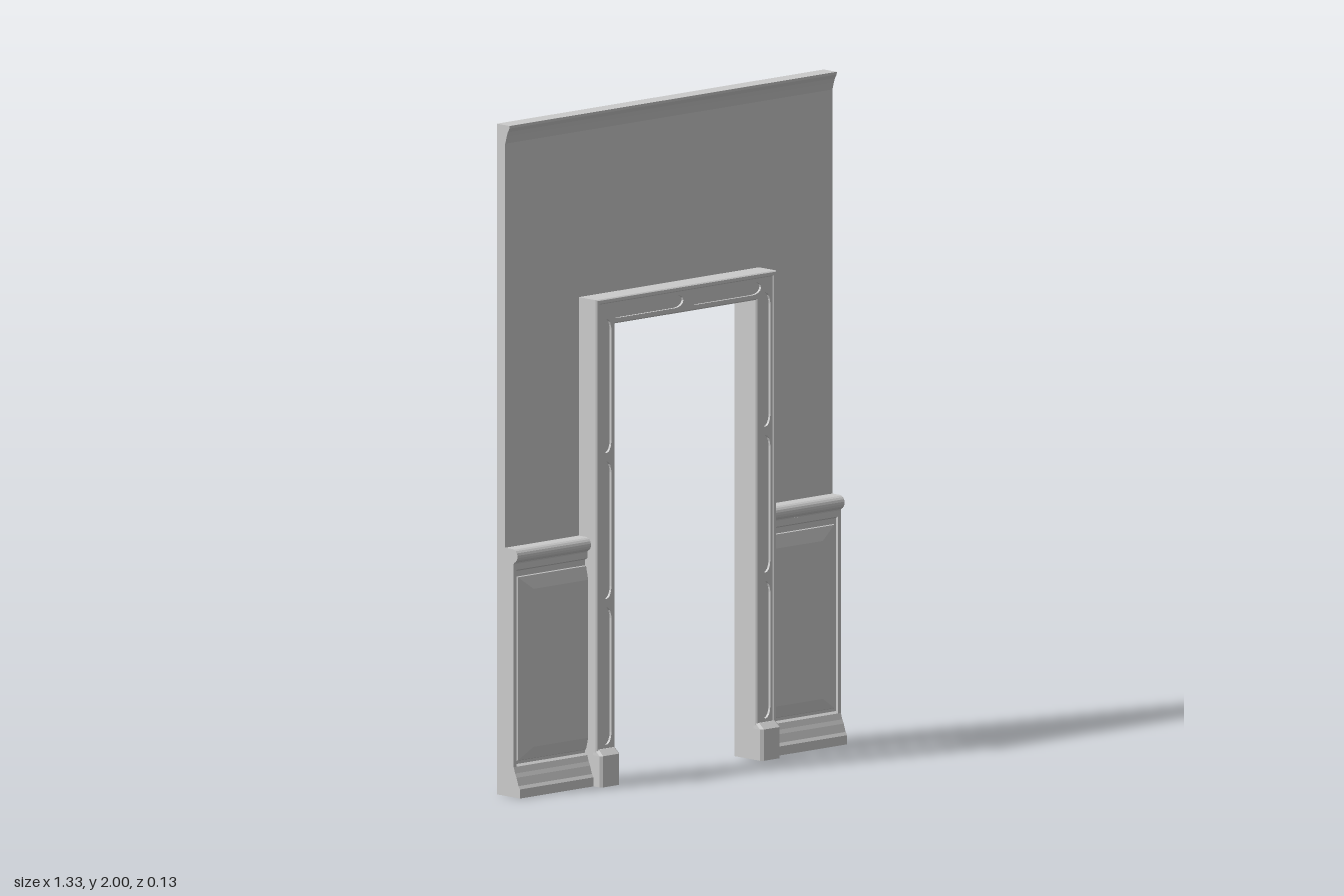
import * as THREE from 'three';

const material = new THREE.MeshStandardMaterial({ color: 0xcccccc, side: THREE.DoubleSide });

const HALF = 0.665;            // half width of the wall
const BACK = -0.066, FACE = -0.03; // wall planes
const OPEN = 0.335;            // half width of the hole in the wall
const DOOR = 0.287, HEAD = 1.372;  // clear doorway inside the casing

function addMesh(parent, name, geometry) {
  const mesh = new THREE.Mesh(geometry, material);
  mesh.name = name;
  parent.add(mesh);
  return mesh;
}

// Flat shaded quads between successive loops of points
function loft(loops) {
  const pos = [];
  for (let i = 0; i < loops.length - 1; i++) {
    const a = loops[i], b = loops[i + 1];
    for (let j = 0; j < a.length - 1; j++) {
      pos.push(...a[j], ...a[j + 1], ...b[j + 1], ...a[j], ...b[j + 1], ...b[j]);
    }
  }
  const g = new THREE.BufferGeometry();
  g.setAttribute('position', new THREE.Float32BufferAttribute(pos, 3));
  g.computeVertexNormals();
  return g;
}

// Corners of the door path, d outward from the clear doorway
const doorPath = (d) => [[-DOOR - d, 0], [-DOOR - d, HEAD + d], [DOOR + d, HEAD + d], [DOOR + d, 0]];

// Sweep of a (d, z) profile around the doorway, mitred at the corners
const sweepDoor = (profile) =>
  loft(profile.map(([d, z]) => doorPath(d).map(([x, y]) => [x, y, z])));

// Extrude a (z, y) profile along x from x0 to x1
function extrudeX(profile, x0, x1) {
  const shape = new THREE.Shape(profile.map(([z, y]) => new THREE.Vector2(-z, y)));
  const g = new THREE.ExtrudeGeometry(shape, { depth: x1 - x0, bevelEnabled: false });
  return g.rotateY(Math.PI / 2).translate(x0, 0, 0);
}

// Long panel outline with tapering rounded ends
function panelHole(cx, cy, length, vertical) {
  const w = 0.02, e = 0.035, h = length / 2 - e, pts = [];
  for (const s of [1, -1]) {
    for (let i = 0; i <= 8; i++) {
      const t = (i / 8) * Math.PI;
      const u = s * w * Math.cos(t), v = s * (h + e * Math.sin(t));
      pts.push(vertical ? new THREE.Vector2(cx + u, cy + v) : new THREE.Vector2(cx + v, cy + u));
    }
  }
  return new THREE.Path(pts);
}

function createCasing() {
  const casing = new THREE.Group();
  casing.name = 'doorCasing';
  // Thin lining, open at the back
  addMesh(casing, 'doorLining', sweepDoor([[0, -0.05], [0, 0.039], [0.004, 0.043]]));
  // Raised outer lip and return to the wall
  addMesh(casing, 'casingLip', sweepDoor(
    [[0.064, 0.043], [0.067, 0.046], [0.076, 0.046], [0.079, 0.042], [0.079, FACE]]));
  addMesh(casing, 'casingPanelFloor', sweepDoor([[0.001, 0.035], [0.066, 0.035]]));

  // Front plate pierced by the long panels
  const outline = [...doorPath(0.064), ...doorPath(0.004).reverse()];
  const plate = new THREE.Shape(outline.map(([x, y]) => new THREE.Vector2(x, y)));
  const c = 0.036;
  for (const s of [-1, 1]) {
    for (const [y0, y1] of [[0.12, 0.53], [0.555, 0.965], [0.99, 1.39]]) {
      plate.holes.push(panelHole(s * (DOOR + c), (y0 + y1) / 2, y1 - y0, true));
    }
    plate.holes.push(panelHole(s * 0.158, HEAD + c, 0.295, false));
  }
  addMesh(casing, 'casingPlate',
    new THREE.ExtrudeGeometry(plate, { depth: 0.008, bevelEnabled: false }).translate(0, 0, 0.035));

  // Plinth blocks with chamfered corners and sloping top
  const ring = (y, z, inset) => {
    const a = 0.04 - inset;
    return [[-a, y, 0.03], [-a, y, z - 0.008], [-a + 0.008, y, z],
      [a - 0.008, y, z], [a, y, z - 0.008], [a, y, 0.03], [-a, y, 0.03]];
  };
  for (const s of [-1, 1]) {
    const middle = (y, z) => Array(7).fill([0, y, z]);
    const block = addMesh(casing, 'plinthBlock', loft([
      middle(0, 0.04), ring(0, 0.066, 0), ring(0.093, 0.066, 0), ring(0.11, 0.046, 0.001), middle(0.11, 0.038)]));
    block.position.x = s * (DOOR + 0.0395);
  }
  return casing;
}

function createWainscot(s) {
  const group = new THREE.Group();
  group.name = s > 0 ? 'leftWainscot' : 'rightWainscot';
  const span = (profile) => s > 0 ? extrudeX(profile, OPEN, HALF) : extrudeX(profile, -HALF, -OPEN);

  // Skirting, recessed ground and lower edge of the rail in one section
  addMesh(group, 'wainscotBody', span([
    [FACE, 0], [0.033, 0], [0.033, 0.027], [0.026, 0.036], [0.018, 0.06], [0.012, 0.072],
    [0.006, 0.09], [-0.003, 0.096], [-0.003, 0.672], [0.006, 0.677], [0.006, 0.695], [FACE, 0.695]]));

  // Rounded chair rail
  const rail = [[FACE, 0.69], [0.004, 0.69]];
  for (let i = 0; i <= 8; i++) {
    const t = -Math.PI * 0.4 + (i / 8) * Math.PI * 0.9;
    rail.push([0.001 + 0.021 * Math.cos(t), 0.719 + 0.021 * Math.sin(t)]);
  }
  rail.push([FACE, 0.74]);
  addMesh(group, 'chairRail', span(rail));

  // Narrow stile at the outer end
  const stile = addMesh(group, 'stile', new THREE.BoxGeometry(0.012, 0.59, 0.036));
  stile.position.set(s * (HALF - 0.006), 0.385, -0.012);

  // Raised field with bevels on three sides, running under the casing
  const frame = (x, y0, y1, z) => {
    const pts = [[OPEN, y0, z], [x, y0, z], [x, y1, z], [OPEN, y1, z]];
    return s > 0 ? pts : pts.map(([a, b, c]) => [-a, b, c]).reverse();
  };
  addMesh(group, 'raisedField', loft([
    frame(0.645, 0.105, 0.655, -0.003), frame(0.643, 0.107, 0.653, 0.001),
    frame(0.588, 0.142, 0.613, 0.01), frame(OPEN, 0.142, 0.613, 0.01)]));
  return group;
}

export function createModel() {
  const model = new THREE.Group();
  model.name = 'doorwayWall';

  // Wall slab around the doorway
  const wall = new THREE.Shape([
    [-HALF, 0], [-OPEN, 0], [-OPEN, 1.41], [OPEN, 1.41], [OPEN, 0], [HALF, 0], [HALF, 2], [-HALF, 2],
  ].map(([x, y]) => new THREE.Vector2(x, y)));
  addMesh(model, 'wall',
    new THREE.ExtrudeGeometry(wall, { depth: FACE - BACK, bevelEnabled: false }).translate(0, 0, BACK));

  // Crown moulding
  addMesh(model, 'crownMoulding', extrudeX([
    [FACE - 0.005, 1.945], [FACE, 1.945], [-0.027, 1.955], [-0.024, 1.966], [-0.019, 1.98],
    [-0.012, 1.992], [-0.011, 2], [FACE - 0.005, 2]], -HALF, HALF));

  for (const s of [-1, 1]) model.add(createWainscot(s));
  model.add(createCasing());
  return model;
}
